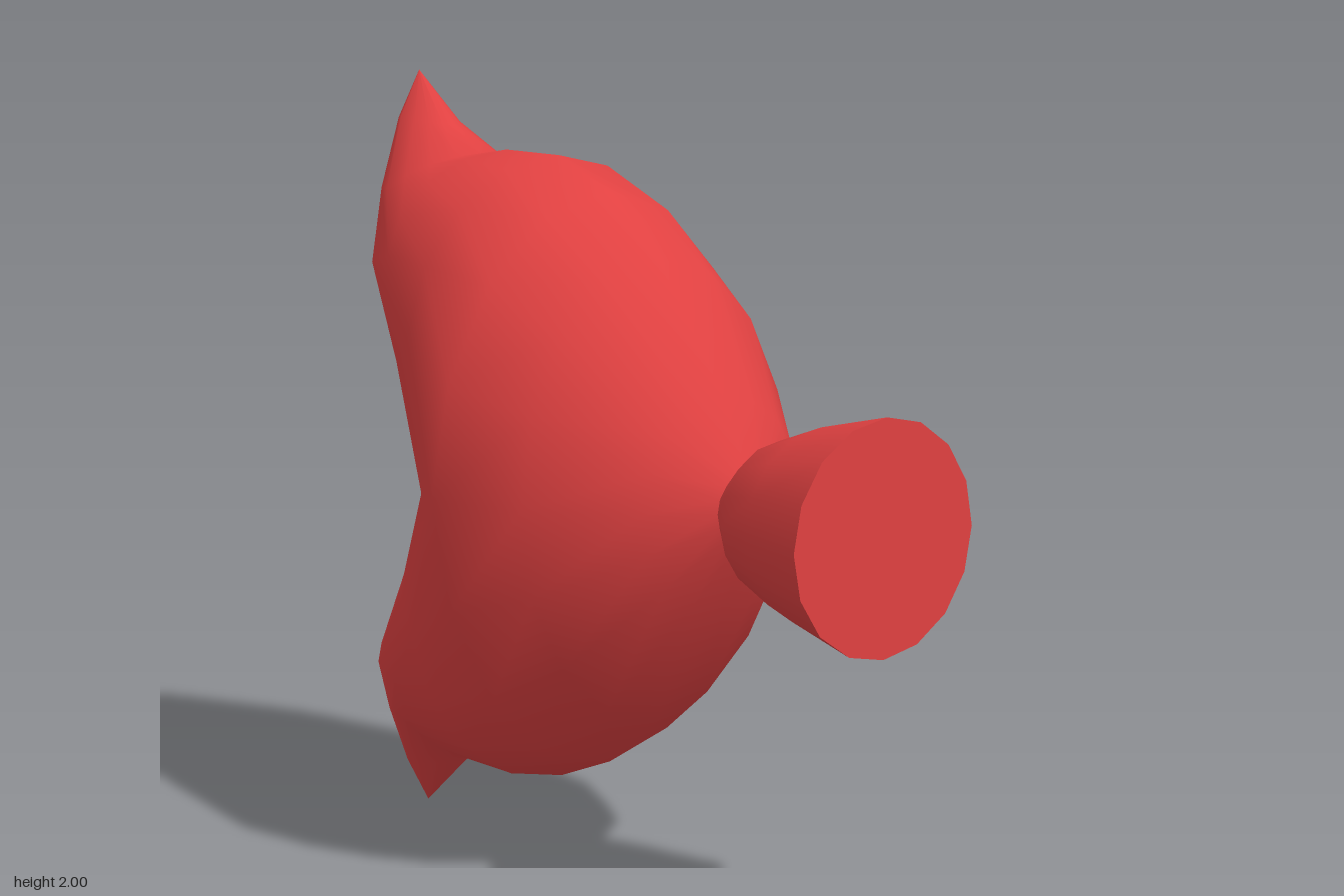
import * as THREE from 'three';
import { toCreasedNormals } from 'three/addons/utils/BufferGeometryUtils.js';

const SIDES = 16;

// Ring through an outer point, a widest point (at x = +-w) and an inner point, each given as [z, y].
function ring(w, side, outer, inner) {
  const points = [];
  for (let i = 0; i < SIDES; i++) {
    const t = (i / SIDES) * Math.PI * 2;
    const s = Math.abs(Math.sin(t));
    const end = i <= SIDES / 2 ? outer : inner;
    points.push(new THREE.Vector3(
      w * Math.cos(t),
      side[1] + (end[1] - side[1]) * s,
      side[0] + (end[0] - side[0]) * s
    ));
  }
  return points;
}

// Skin neighbouring rings with triangles; flip mirrors them about y = 1.
function skin(out, rings, flip) {
  const tri = (a, b, c) => {
    if (a.equals(b) || b.equals(c) || a.equals(c)) return;
    for (const p of flip ? [a, c, b] : [a, b, c]) out.push(p.x, flip ? 2 - p.y : p.y, p.z);
  };
  for (let i = 0; i < rings.length - 1; i++) {
    for (let j = 0; j < SIDES; j++) {
      const k = (j + 1) % SIDES;
      const a = rings[i][j], b = rings[i][k], c = rings[i + 1][k], d = rings[i + 1][j];
      tri(a, d, c);
      tri(a, c, b);
    }
  }
}

export function createModel() {
  const group = new THREE.Group();
  const red = new THREE.MeshStandardMaterial({ color: 0xe04141 });
  red.name = 'red';

  // Rounded front of the body: half-width, side z, top z, half-height
  const bodyRings = [
    [0.09, 0.445, 0.445, 0.09],
    [0.25, 0.35, 0.36, 0.26],
    [0.42, 0.12, 0.12, 0.57],
    [0.5, -0.13, -0.07, 0.72],
  ].map(([w, sz, oz, h]) => ring(w, [sz, 1], [oz, 1 + h], [oz, 1 - h]));

  // Lobe from the fork to the pointed tip: half-width, side, outer, inner
  const lobeRings = [
    [0.5, [-0.13, 1], [-0.07, 1.72], [-0.38, 1]],
    [0.415, [-0.34, 1.38], [-0.27, 1.8], [-0.6, 1.16]],
    [0.33, [-0.55, 1.55], [-0.49, 1.805], [-0.83, 1.48]],
    [0.18, [-0.77, 1.7], [-0.6, 1.79], [-0.885, 1.7]],
    [0.07, [-0.86, 1.88], [-0.72, 1.86], [-0.91, 1.87]],
    [0, [-0.875, 2], [-0.875, 2], [-0.875, 2]],
  ].map((r) => ring(...r));

  // Body and both lobes share one skin, creased only at the fork
  const positions = [];
  skin(positions, bodyRings, false);
  skin(positions, lobeRings, false);
  skin(positions, lobeRings, true);
  const bodyGeometry = new THREE.BufferGeometry();
  bodyGeometry.setAttribute('position', new THREE.Float32BufferAttribute(positions, 3));
  const body = new THREE.Mesh(toCreasedNormals(bodyGeometry, 1.05), red);
  body.name = 'forkedBody';
  group.add(body);

  // Flared stem at the front
  const profile = [[0.09, 0.445], [0.18, 0.56], [0.228, 0.7], [0.275, 0.91]];
  const stemGeometry = new THREE.LatheGeometry(profile.map((p) => new THREE.Vector2(...p)), SIDES);
  stemGeometry.rotateX(Math.PI / 2);
  const stem = new THREE.Mesh(stemGeometry, red);
  stem.name = 'stem';
  stem.position.y = 1;
  group.add(stem);

  // Flat end of the stem
  const cap = new THREE.Mesh(new THREE.CircleGeometry(0.275, SIDES), red);
  cap.name = 'stemEnd';
  cap.position.set(0, 1, 0.91);
  group.add(cap);

  return group;
}
